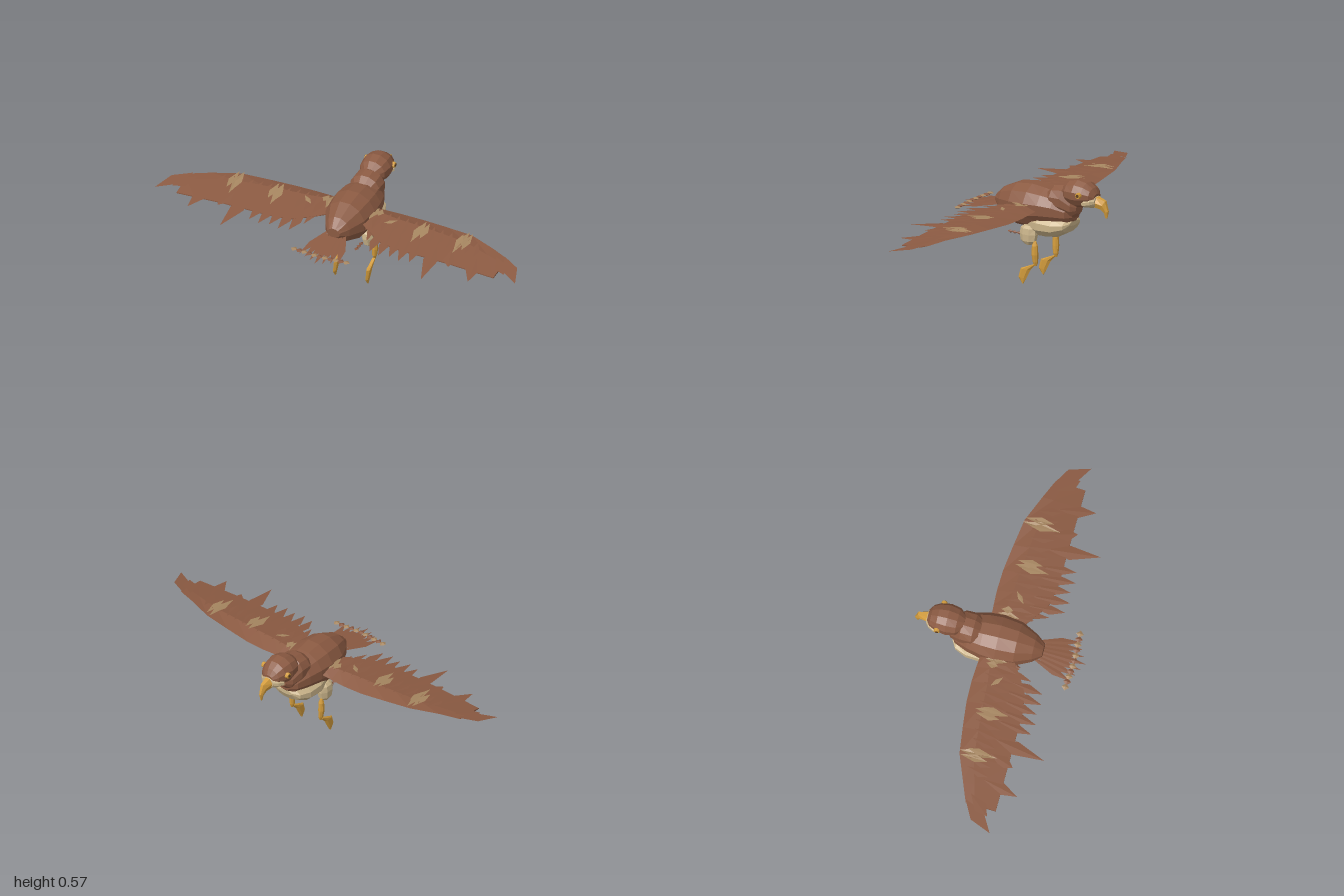
import * as THREE from 'three';

const mat = (name, color, double) => {
  const m = new THREE.MeshStandardMaterial({ color, flatShading: true });
  m.name = name;
  if (double) m.side = THREE.DoubleSide;
  return m;
};

// Surface through rings of points, closed at both ends
function loft(rings) {
  const p = [], n = rings[0].length;
  const centre = r => [0, 1, 2].map(k => r.reduce((s, v) => s + v[k], 0) / n);
  const first = rings[0], last = rings[rings.length - 1], c0 = centre(first), c1 = centre(last);
  for (let j = 0; j < n; j++) {
    const k = (j + 1) % n;
    for (let i = 0; i < rings.length - 1; i++) {
      const a = rings[i][j], b = rings[i][k], c = rings[i + 1][k], d = rings[i + 1][j];
      p.push(...a, ...b, ...c, ...a, ...c, ...d);
    }
    p.push(...c0, ...first[k], ...first[j], ...c1, ...last[j], ...last[k]);
  }
  return toGeometry(p);
}

function toGeometry(p) {
  const g = new THREE.BufferGeometry();
  g.setAttribute('position', new THREE.Float32BufferAttribute(p, 3));
  g.computeVertexNormals();
  return g;
}

// Oval ring facing along z, and oval ring facing up
const angles = n => Array.from({ length: n }, (_, i) => (i + 0.5) / n * Math.PI * 2);
const ringZ = ([z, y, rx, ry], n = 12) => angles(n).map(a => [rx * Math.cos(a), y + ry * Math.sin(a), z]);
const ringY = ([y, x, z, rx, rz], n = 8) => angles(n).map(a => [x + rx * Math.cos(a), y, z - rz * Math.sin(a)]);

function interpolate(table, t) {
  for (let i = 1; i < table.length; i++) {
    const [a, va] = table[i - 1], [b, vb] = table[i];
    if (t <= b) return va + (vb - va) * Math.max(0, (t - a) / (b - a));
  }
  return table[table.length - 1][1];
}

// Height of the wing's upper side, falling towards the wing tip
const wingY = (x, z) => interpolate([[-0.09, 0.397], [-0.03, 0.422], [0.1, 0.405], [0.2, 0.388], [0.36, 0.367]], z)
  - 0.02 * Math.max(0, (x - 0.6) / 0.4);

// Flat pointed feather from base to tip; wide is where along it is broadest
function feather(out, [x0, z0], [x1, z1], w, height, wide = 0.5) {
  const dx = x1 - x0, dz = z1 - z0, l = Math.hypot(dx, dz), nx = -dz / l * w / 2, nz = dx / l * w / 2;
  const mx = x0 + dx * wide, mz = z0 + dz * wide;
  const at = (x, z, up = 0) => [x, height(x, z) + up, z];
  const b = at(x0, z0), t = at(x1, z1, 0.002), l1 = at(mx + nx, mz + nz), r1 = at(mx - nx, mz - nz);
  out.push(...b, ...l1, ...t, ...b, ...t, ...r1);
}

export function createModel() {
  const bird = new THREE.Group();
  bird.name = 'bird';
  const brown = mat('brown plumage', 0x8b5a42);
  const brownFeather = mat('brown feathers', 0x8b5a42, true);
  const tan = mat('tan feathers', 0xa68660, true);
  const cream = mat('cream down', 0xc9b389);
  const gold = mat('golden beak and legs', 0xd39c3c);
  const dark = mat('dark pupil', 0x5f3f22);
  const add = (name, geometry, material, parent = bird) => {
    const m = new THREE.Mesh(geometry, material);
    m.name = name;
    parent.add(m);
    return m;
  };
  const ovals = (list, n) => loft(list.map(r => ringZ(r, n)));

  // Trunk
  add('body', ovals([[-0.25, 0.38, 0.035, 0.025], [-0.225, 0.389, 0.07, 0.06], [-0.16, 0.4, 0.1, 0.09],
    [-0.09, 0.402, 0.118, 0.103], [-0.01, 0.396, 0.125, 0.118], [0.085, 0.391, 0.112, 0.111],
    [0.17, 0.389, 0.07, 0.073], [0.215, 0.393, 0.035, 0.026]]), brown);
  add('belly', ovals([[-0.242, 0.338, 0.045, 0.012], [-0.22, 0.325, 0.082, 0.038], [-0.16, 0.315, 0.105, 0.062],
    [-0.08, 0.315, 0.11, 0.072], [0, 0.315, 0.085, 0.052], [0.05, 0.32, 0.04, 0.025]]), cream);

  // Neck and head
  add('neck', ovals([[-0.272, 0.42, 0.03, 0.03], [-0.25, 0.425, 0.06, 0.058], [-0.2, 0.453, 0.082, 0.084],
    [-0.14, 0.456, 0.083, 0.07], [-0.1, 0.45, 0.06, 0.045]]), brown);
  add('head', ovals([[-0.378, 0.492, 0.03, 0.022], [-0.36, 0.5, 0.055, 0.043], [-0.325, 0.503, 0.072, 0.064],
    [-0.275, 0.502, 0.08, 0.074], [-0.225, 0.502, 0.071, 0.06], [-0.19, 0.502, 0.04, 0.035]]), brown);
  add('cheeks', ovals([[-0.382, 0.475, 0.035, 0.026], [-0.365, 0.473, 0.056, 0.033],
    [-0.335, 0.468, 0.071, 0.028], [-0.32, 0.464, 0.06, 0.018]]), cream);

  // Hooked beak
  const beakRing = ([zt, yt, zb, yb, w]) => [[w * 0.45, yt, zt], [-w * 0.45, yt, zt], [-w, (yt + yb) / 2, (zt + zb) / 2],
    [-w * 0.7, yb, zb], [w * 0.7, yb, zb], [w, (yt + yb) / 2, (zt + zb) / 2]];
  add('beak', loft([[-0.44, 0.397, -0.43, 0.393, 0.003], [-0.446, 0.433, -0.424, 0.423, 0.01],
    [-0.43, 0.484, -0.408, 0.44, 0.018], [-0.37, 0.503, -0.37, 0.448, 0.031]].map(beakRing)), gold);

  // Tail fan
  const tailY = (x, z) => 0.372 - (z - 0.2) * 0.15 - Math.abs(x) * 0.04;
  const tail = [];
  for (let i = -3; i <= 3; i++)
    feather(tail, [i * 0.012, 0.14], [i * 0.036, 0.435 - Math.abs(i) * 0.017], 0.042, tailY, 0.62);
  add('tailFeathers', toGeometry(tail), brownFeather);

  // Band of small tufts across the tail
  for (let i = 0; i < 11; i++) {
    const tuft = add('tailTuft', new THREE.OctahedronGeometry(1), i % 2 ? brown : tan);
    tuft.scale.set(0.019, 0.007, 0.02);
    tuft.position.set((i - 5) * 0.029, 0.348, 0.375 - Math.abs(i - 5) * 0.002);
  }

  for (const s of [1, -1]) {
    const side = s > 0 ? 'left' : 'right';

    // Eye
    const eye = add(side + 'Eye', new THREE.CylinderGeometry(0.014, 0.016, 0.018, 8), gold);
    eye.rotation.z = -s * Math.PI / 2;
    eye.position.set(s * 0.074, 0.511, -0.315);
    const pupil = add(side + 'Pupil', new THREE.CylinderGeometry(0.008, 0.008, 0.004, 8), dark);
    pupil.rotation.z = eye.rotation.z;
    pupil.position.set(s * 0.084, 0.511, -0.315);

    // Leg
    const x = s * 0.09;
    add(side + 'Thigh', loft([[0.21, x * 0.98, -0.025, 0.013, 0.018], [0.23, x * 0.95, -0.023, 0.028, 0.044],
      [0.265, x * 0.9, -0.022, 0.034, 0.051], [0.295, x * 0.85, -0.022, 0.034, 0.046],
      [0.308, x * 0.8, -0.022, 0.024, 0.03]].map(r => ringY(r))), cream);
    add(side + 'Shin', loft([[0.105, x, -0.068, 0.005, 0.007], [0.125, x, -0.067, 0.012, 0.015],
      [0.165, x * 1.03, -0.066, 0.016, 0.018], [0.21, x * 1.03, -0.066, 0.014, 0.016],
      [0.232, x * 1.02, -0.066, 0.007, 0.008]].map(r => ringY(r))), gold);
    add(side + 'Foot', loft([[0, x, 0.009, 0.003, 0.004], [0.03, x, 0.011, 0.008, 0.024],
      [0.078, x, -0.008, 0.011, 0.03], [0.11, x, -0.06, 0.008, 0.008]].map(r => ringY(r, 6))), gold);

    // Small tufts behind the thigh
    for (let i = 0; i < 3; i++) {
      const tuft = add(side + 'ThighTuft', new THREE.OctahedronGeometry(1), brown);
      tuft.scale.set(0.012, 0.008, 0.018);
      tuft.position.set(s * 0.07, 0.252, 0.045 + i * 0.026);
    }

    // Wing blade: [x, leading z, trailing z]
    const wing = new THREE.Group();
    wing.name = side + 'Wing';
    bird.add(wing);
    const plan = [[0.07, -0.08, 0.07], [0.17, -0.086, 0.14], [0.25, -0.09, 0.185], [0.36, -0.087, 0.2],
      [0.5, -0.07, 0.2], [0.64, -0.05, 0.2], [0.78, 0.005, 0.2], [0.88, 0.045, 0.2]];
    add('wingBlade', loft(plan.map(([px, z0, z1]) => {
      const zm = z0 + (z1 - z0) * 0.3, thick = 0.035 - 0.025 * px;
      const ring = [[zm, 0], [z1, 0], [z1, -0.005], [zm, -thick], [z0, -0.003]]
        .map(([z, dy]) => [s * px, wingY(px, z) + dy, z]);
      return s > 0 ? ring : ring.reverse();
    })), brown, wing);

    const height = lift => (fx, z) => wingY(Math.abs(fx), z) + lift;
    const layer = (name, material, lift, list) => {
      const p = [];
      for (const [x0, z0, x1, z1, w, wide] of list) {
        // mirrored feathers swap their halves so that the upper side stays in front
        feather(p, [s * x0, z0], [s * x1, z1], w, height(lift), wide);
      }
      add(name, toGeometry(p), material, wing);
    };
    // Flight feathers along the trailing edge
    const flight = [[0.74, 0.1, 0.778, 0.283, 0.07, 0.5], [0.52, 0.1, 0.558, 0.365, 0.075, 0.42],
      [0.6, 0.1, 0.64, 0.225, 0.07, 0.6], [0.12, 0, 0.135, 0.13, 0.035, 0.6], [0.15, 0.03, 0.175, 0.2, 0.035, 0.6]];
    for (let i = 0; i < 5; i++)
      flight.push([0.205 + i * 0.054, 0.08, 0.224 + i * 0.055, 0.268 + (i % 2) * 0.012, 0.05, 0.6]);
    layer('flightFeathers', brownFeather, -0.001, flight);

    // Wing tip feather
    layer('wingTipFeather', brownFeather, 0.002, [[0.865, 0.04, 1, 0.2, 0.078, 0.48], [0.83, 0.06, 0.92, 0.165, 0.07, 0.6]]);

    // Covert feathers lying on the wing
    const coverts = [];
    for (let i = 0; i < 12; i++)
      coverts.push([0.15 + i * 0.05, -0.04 + i * 0.004, 0.165 + i * 0.051, 0.12, 0.045, 0.6]);
    layer('covertFeathers', brownFeather, 0.005, coverts);

    // Tan patches, each a cluster of leaf-shaped feathers
    for (const [px, z0, z1] of [[0.13, -0.05, 0.06], [0.4, -0.035, 0.14], [0.63, -0.055, 0.14]])
      layer('tanPatch', tan, 0.009, [[px - 0.005, z0, px - 0.01, z1, 0.045, 0.45],
        [px - 0.02, z0 + 0.04, px - 0.012, z1 - 0.02, 0.035, 0.4],
        [px + 0.018, z0 + 0.01, px + 0.022, z1 - 0.04, 0.04, 0.55]]);
    layer('smallTanPatch', tan, 0.008, [[0.26, 0.01, 0.2, 0.06, 0.025, 0.5]]);
  }
  return bird;
}
